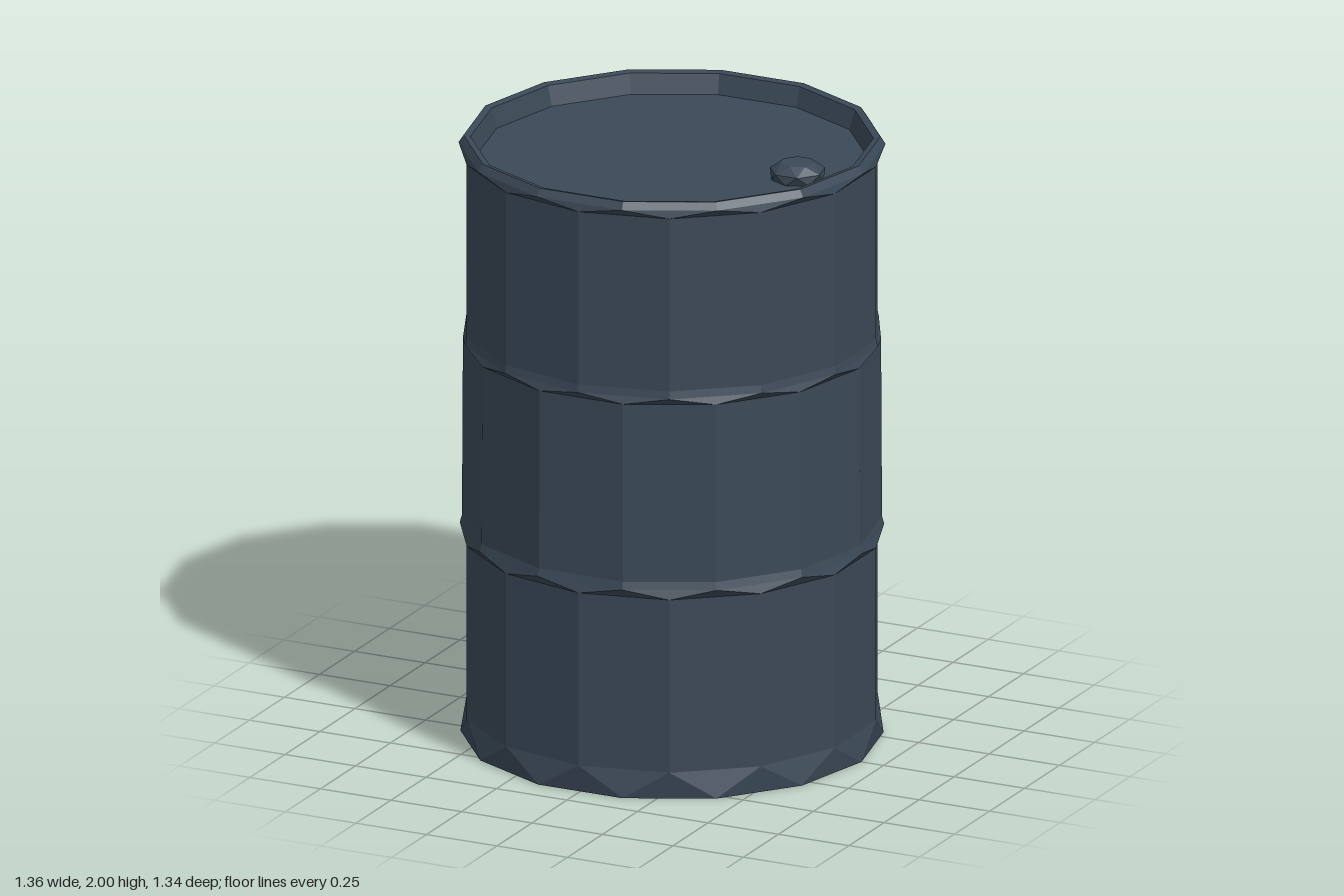
import * as THREE from 'three';

const steel = new THREE.MeshStandardMaterial({ color: 0x3a4856, flatShading: true });
steel.name = 'slate steel';

// Stacks faceted rings [y, radius, turn]; turn shifts a ring by a share of one side.
function facetedRings(rings, sides) {
  const out = [];
  const point = ([y, r, t], j) => {
    const a = ((j + t) / sides) * Math.PI * 2;
    return [Math.sin(a) * r, y, Math.cos(a) * r];
  };
  for (let i = 0; i < rings.length - 1; i++) {
    const lo = rings[i], hi = rings[i + 1];
    for (let j = 0; j < sides; j++) {
      if (lo[1] > 0) out.push(...point(lo, j), ...point(lo, j + 1), ...point(hi, j));
      if (hi[1] > 0) out.push(...point(lo, j + 1), ...point(hi, j + 1), ...point(hi, j));
    }
  }
  const geo = new THREE.BufferGeometry();
  geo.setAttribute('position', new THREE.Float32BufferAttribute(out, 3));
  geo.computeVertexNormals();
  return geo;
}

function addPart(group, name, rings, sides) {
  const mesh = new THREE.Mesh(facetedRings(rings, sides), steel);
  mesh.name = name;
  group.add(mesh);
  return mesh;
}

export function createModel() {
  const barrel = new THREE.Group();
  barrel.name = 'barrel';
  const sides = 14;

  // Base, barely dished underneath, with a scalloped foot
  addPart(barrel, 'base', [
    [0.01, 0, 0.5], [0.01, 0.635, 0.5], [0, 0.655, 0.5], [0, 0.672, 0.5], [0.09, 0.667, 1],
  ], sides);

  // Wall: each shallow rib turns the facets by half a side
  addPart(barrel, 'wall', [
    [0.09, 0.667, 1],
    [0.67, 0.667, 1], [0.7, 0.674, 1.5], [0.725, 0.667, 1.5],
    [1.32, 0.664, 1.5], [1.345, 0.672, 2], [1.37, 0.667, 2],
    [1.95, 0.667, 2],
  ], sides);

  // Rolled top rim and its inner wall
  addPart(barrel, 'rim', [
    [1.95, 0.667, 2], [1.976, 0.678, 2.5], [2, 0.662, 2.5], [1.995, 0.64, 2.5], [1.93, 0.622, 2.5],
  ], sides);

  // Sunken lid
  addPart(barrel, 'lid', [[1.93, 0.622, 2.5], [1.93, 0, 2.5]], sides);

  // Filler cap
  const cap = addPart(barrel, 'fillerCap', [
    [0, 0.085, 0], [0.03, 0.09, 0.5], [0.055, 0.055, 1], [0.055, 0, 1],
  ], 7);
  cap.position.set(0.45, 1.929, 0.01);

  return barrel;
}
